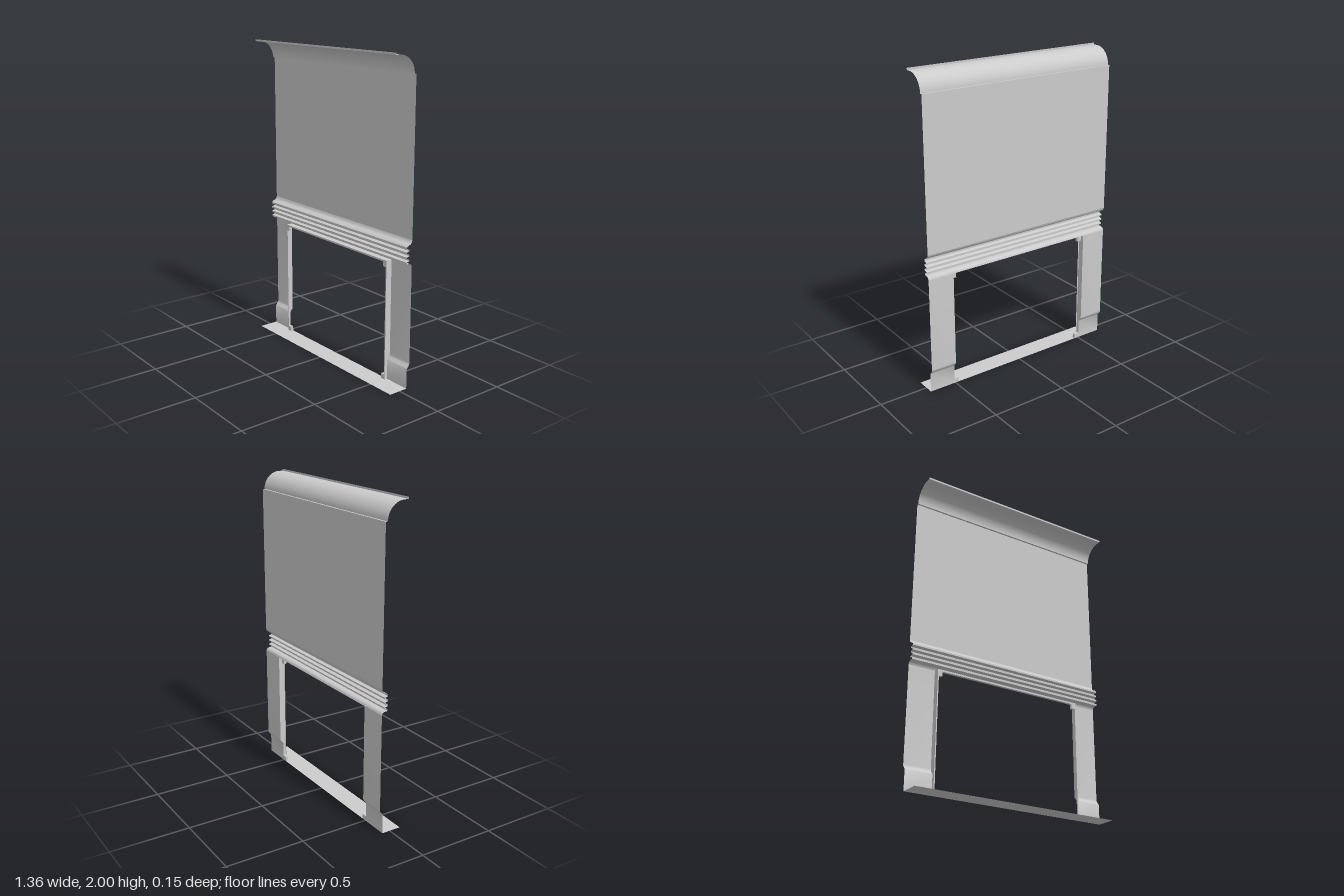
import * as THREE from 'three';
import { toCreasedNormals } from 'three/addons/utils/BufferGeometryUtils.js';

const HALF = 0.68;      // half width of the panel
const OPEN = 0.506;     // half width of the opening
const HEAD = 0.765;     // top of the opening
const BACK = -0.075;    // plane of the main sheet
const FRAME = -0.035;   // front plane of the opening frame
const FOOT = -0.054;    // plane of the leg feet

const material = new THREE.MeshStandardMaterial({ color: 0xcccccc, side: THREE.DoubleSide });

// Sheet made by sweeping a [z, y] profile along x
function sheet(name, profile, x0, x1) {
  const pos = [];
  for (let i = 0; i < profile.length - 1; i++) {
    const [za, ya] = profile[i], [zb, yb] = profile[i + 1];
    pos.push(x0, ya, za, x1, ya, za, x1, yb, zb, x0, ya, za, x1, yb, zb, x0, yb, zb);
  }
  const g = new THREE.BufferGeometry();
  g.setAttribute('position', new THREE.Float32BufferAttribute(pos, 3));
  const mesh = new THREE.Mesh(toCreasedNormals(g, 0.6), material);
  mesh.name = name;
  return mesh;
}

function box(name, x0, x1, y0, y1, z0, z1) {
  const mesh = new THREE.Mesh(new THREE.BoxGeometry(x1 - x0, y1 - y0, z1 - z0), material);
  mesh.position.set((x0 + x1) / 2, (y0 + y1) / 2, (z0 + z1) / 2);
  mesh.name = name;
  return mesh;
}

// Elliptical arc of [z, y] points
function arc(cz, cy, rz, ry, a0, a1, n) {
  return Array.from({ length: n + 1 }, (_, i) => {
    const a = a0 + (a1 - a0) * i / n;
    return [cz + rz * Math.cos(a), cy + ry * Math.sin(a)];
  });
}

export function createModel() {
  const group = new THREE.Group();
  group.name = 'doorPanel';

  // Rounded shoulder above the opening
  const shoulder = arc(-0.05, HEAD, 0.025, 0.022, Math.PI, Math.PI / 2, 6);
  group.add(sheet('shoulder', [...shoulder, [FRAME, 0.787]], -HALF, HALF));

  // Horizontal ribs, pressed forward
  const ribs = [];
  const count = 4, y0 = 0.787, y1 = 0.893, pitch = (y1 - y0) / (count - 0.5);
  for (let i = 0; i < count; i++) {
    const y = y0 + i * pitch;
    ribs.push([FRAME, y], [FRAME, y + pitch * 0.35]);
    if (i < count - 1) ribs.push([-0.055, y + pitch * 0.55], [-0.055, y + pitch * 0.8]);
  }
  ribs.push([-0.045, 0.897], [-0.062, 0.903], [-0.071, 0.912], [BACK, 0.925]);
  group.add(sheet('ribs', ribs, -HALF, HALF));

  // Large flat panel with the small ledge at its top
  group.add(sheet('upperPanel', [[BACK, 0.925], [BACK, 1.88], [-0.062, 1.88]], -HALF, HALF));

  // Curved top with upturned lip
  const curl = arc(0.046, 1.88, 0.108, 0.108, Math.PI, Math.PI / 2, 16);
  group.add(sheet('topCurl', [...curl, [0.075, 1.988], [0.075, 2]], -HALF, HALF));

  // Sill across the bottom
  group.add(sheet('sill', [[FOOT, 0], [0.075, 0]], -HALF, HALF));

  // Head of the opening frame: flange and downturned lip
  group.add(sheet('headFrame', [[BACK, HEAD], [FRAME, HEAD], [FRAME, 0.754]], -OPEN, OPEN));

  // Leg profile, stepping forward at the foot
  const leg = [[FOOT, 0], [FOOT, 0.125], [-0.058, 0.131], [-0.07, 0.145], [-0.074, 0.152],
    [BACK, 0.162], [BACK, HEAD]];

  for (const s of [-1, 1]) {
    const side = new THREE.Group();
    side.name = s > 0 ? 'leftLeg' : 'rightLeg';
    const span = (a, b) => s > 0 ? [a, b] : [-b, -a];
    side.add(sheet('legSheet', leg, ...span(OPEN, HALF)));

    // Jamb flange follows the leg profile
    const outline = new THREE.Shape();
    outline.moveTo(FRAME, 0);
    leg.forEach(([z, y]) => outline.lineTo(z, y));
    outline.lineTo(FRAME, HEAD);
    const jamb = new THREE.Mesh(new THREE.ShapeGeometry(outline), material);
    jamb.name = 'jamb';
    jamb.rotation.y = -Math.PI / 2;
    jamb.position.x = s * OPEN;
    side.add(jamb);

    // Jamb lip and the corner tabs
    side.add(sheet('jambLip', [[FRAME, 0], [FRAME, HEAD]], ...span(0.499, OPEN)));
    side.add(box('topTab', ...span(0.475, OPEN), 0.724, HEAD, FOOT, FRAME));
    side.add(box('bottomTab', ...span(0.473, OPEN), 0, 0.032, FOOT, FRAME));
    group.add(side);
  }
  return group;
}
